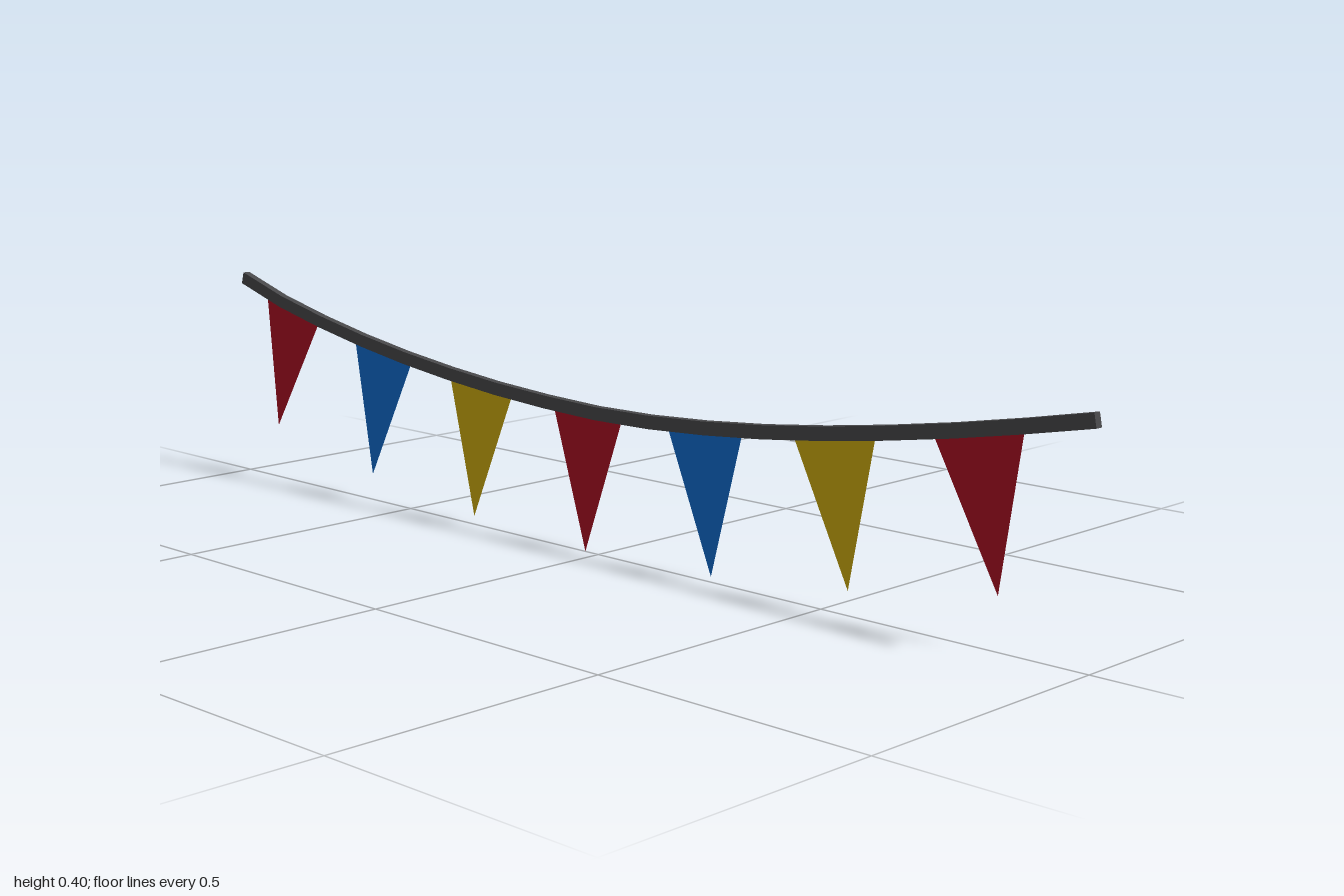
import * as THREE from 'three';

const material = (name, color, side) => {
  const m = new THREE.MeshStandardMaterial({ color, side });
  m.name = name;
  return m;
};

// Sagging line the bunting hangs from
const curve = new THREE.CatmullRomCurve3([
  [-0.998, 0.393], [-0.86, 0.353], [-0.6, 0.302], [-0.37, 0.272], [-0.2, 0.258], [0.02, 0.25],
  [0.2, 0.256], [0.4, 0.273], [0.6, 0.3], [0.8, 0.334], [0.997, 0.374],
].map(([x, y]) => new THREE.Vector3(x, y, 0)));

// Point and upward normal on the line at parameter u
function frame(u) {
  const p = curve.getPointAt(u);
  const t = curve.getTangentAt(u);
  return { p, t, n: new THREE.Vector3(-t.y, t.x, 0) };
}

// Curve parameter at a given x
function paramAt(x) {
  let lo = 0, hi = 1;
  for (let i = 0; i < 30; i++) {
    const mid = (lo + hi) / 2;
    if (curve.getPointAt(mid).x < x) lo = mid; else hi = mid;
  }
  return lo;
}

// Folded tape: a channel with top, front and bottom, open at the back
function tapeGeometry(segments, h, d) {
  const section = [[-d, h], [d, h], [d, -h], [-d, -h]];
  const positions = [];
  const rings = [];
  for (let i = 0; i <= segments; i++) {
    const { p, n } = frame(i / segments);
    rings.push(section.map(([z, o]) => p.clone().addScaledVector(n, o).setZ(z)));
  }
  const quad = (a, b, c, e) => [a, b, c, a, c, e].forEach((v) => positions.push(v.x, v.y, v.z));
  for (let i = 0; i < segments; i++) {
    const a = rings[i], b = rings[i + 1];
    for (let k = 0; k < 3; k++) quad(a[k], a[k + 1], b[k + 1], b[k]);
  }
  // End caps
  const [s, e] = [rings[0], rings[segments]];
  quad(s[0], s[3], s[2], s[1]);
  quad(e[0], e[1], e[2], e[3]);
  const g = new THREE.BufferGeometry();
  g.setAttribute('position', new THREE.Float32BufferAttribute(positions, 3));
  g.computeVertexNormals();
  return g;
}

export function createModel() {
  const group = new THREE.Group();
  group.name = 'bunting';
  const tapeGrey = material('tapeGrey', 0x48484a, THREE.DoubleSide);
  const flagColours = [
    material('flagRed', 0xb01024, THREE.DoubleSide),
    material('flagBlue', 0x0f6dd2, THREE.DoubleSide),
    material('flagYellow', 0xd2b00e, THREE.DoubleSide),
  ];

  const tape = new THREE.Mesh(tapeGeometry(16, 0.0115, 0.007), tapeGrey);
  tape.name = 'tape';
  group.add(tape);

  // Pennant with its top edge tucked into the tape
  const pennant = new THREE.ShapeGeometry(new THREE.Shape([
    new THREE.Vector2(-0.087, 0.007), new THREE.Vector2(0, -0.25), new THREE.Vector2(0.087, 0.007),
  ]));
  for (let i = 0; i < 7; i++) {
    const { p, t } = frame(paramAt(-0.845 + i * 0.2728));
    const flag = new THREE.Mesh(pennant, flagColours[i % 3]);
    flag.name = `flag${i + 1}`;
    flag.position.copy(p);
    flag.rotation.z = Math.atan2(t.y, t.x);
    group.add(flag);
  }
  return group;
}
